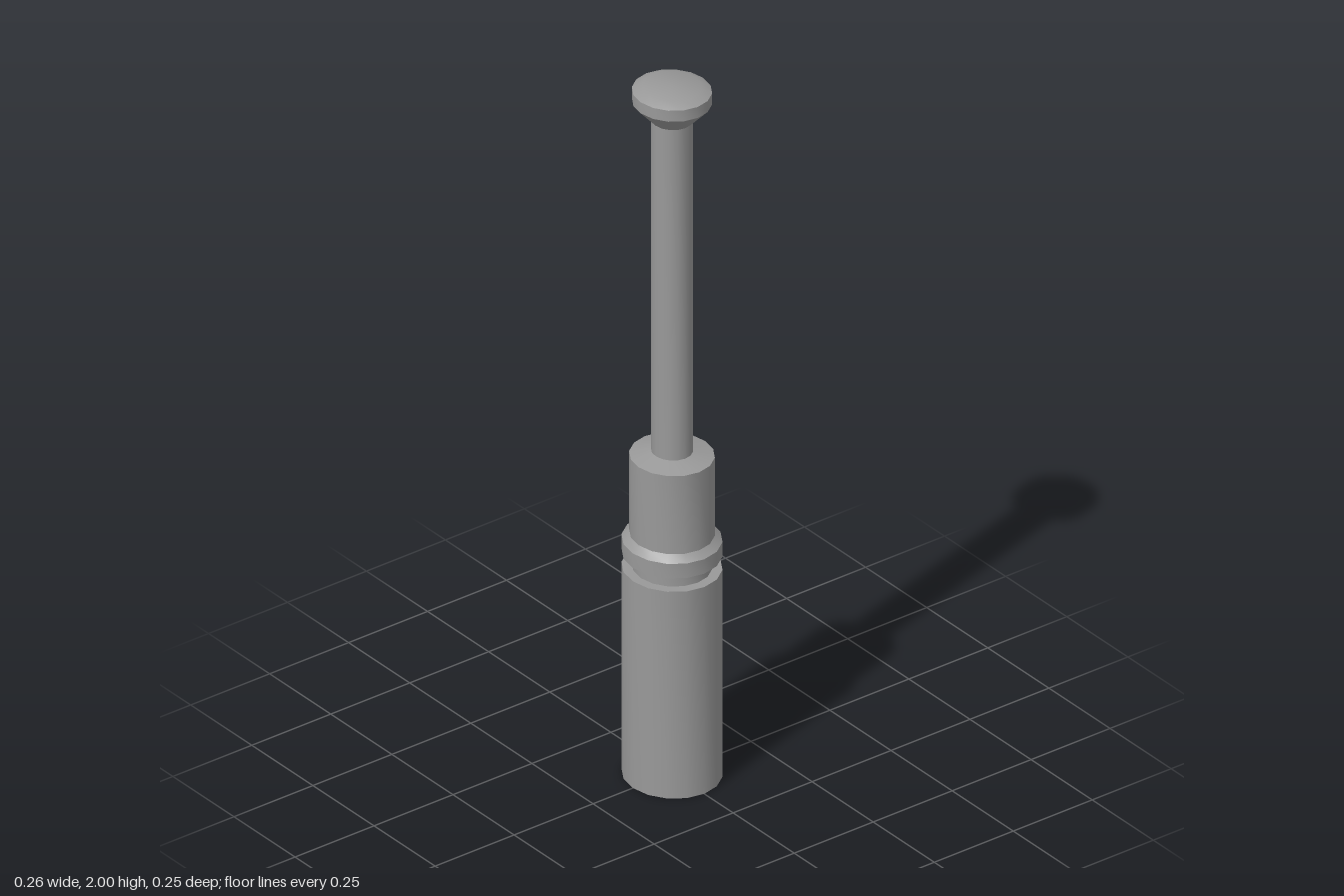
import * as THREE from 'three';
import { toCreasedNormals } from 'three/addons/utils/BufferGeometryUtils.js';

const SIDES = 16;
const DEPTH = 0.94; // cross-sections are slightly flattened front to back

export function createModel() {
  const model = new THREE.Group();
  model.name = 'plungerTool';

  const greyMetal = new THREE.MeshStandardMaterial({ color: 0x999999 });
  greyMetal.name = 'greyMetal';

  // Turned part from [radius, height] pairs, listed bottom to top
  function turned(name, profile) {
    const points = profile.map(([r, y]) => new THREE.Vector2(r, y));
    const geometry = new THREE.LatheGeometry(points, SIDES);
    geometry.scale(1, 1, DEPTH);
    const mesh = new THREE.Mesh(toCreasedNormals(geometry, 0.55), greyMetal);
    mesh.name = name;
    model.add(mesh);
  }

  // Wide base cylinder with its flat shoulder
  turned('base', [[0, 0], [0.132, 0], [0.132, 0.602], [0.105, 0.602]]);

  // Narrow groove between base and collar
  turned('neck', [[0.105, 0.602], [0.105, 0.641]]);

  // Collar with a chamfered upper edge
  turned('collar', [[0.105, 0.641], [0.132, 0.641], [0.132, 0.683], [0.112, 0.7]]);

  // Upper barrel with a gently sloped shoulder
  turned('barrel', [[0.112, 0.7], [0.112, 0.927], [0.055, 0.94]]);

  // Long slim rod
  turned('rod', [[0.055, 0.94], [0.055, 1.902]]);

  // Flared head with a bevelled flat top
  turned('head', [[0.055, 1.902], [0.105, 1.955], [0.105, 1.987], [0.078, 2], [0, 2]]);

  return model;
}
